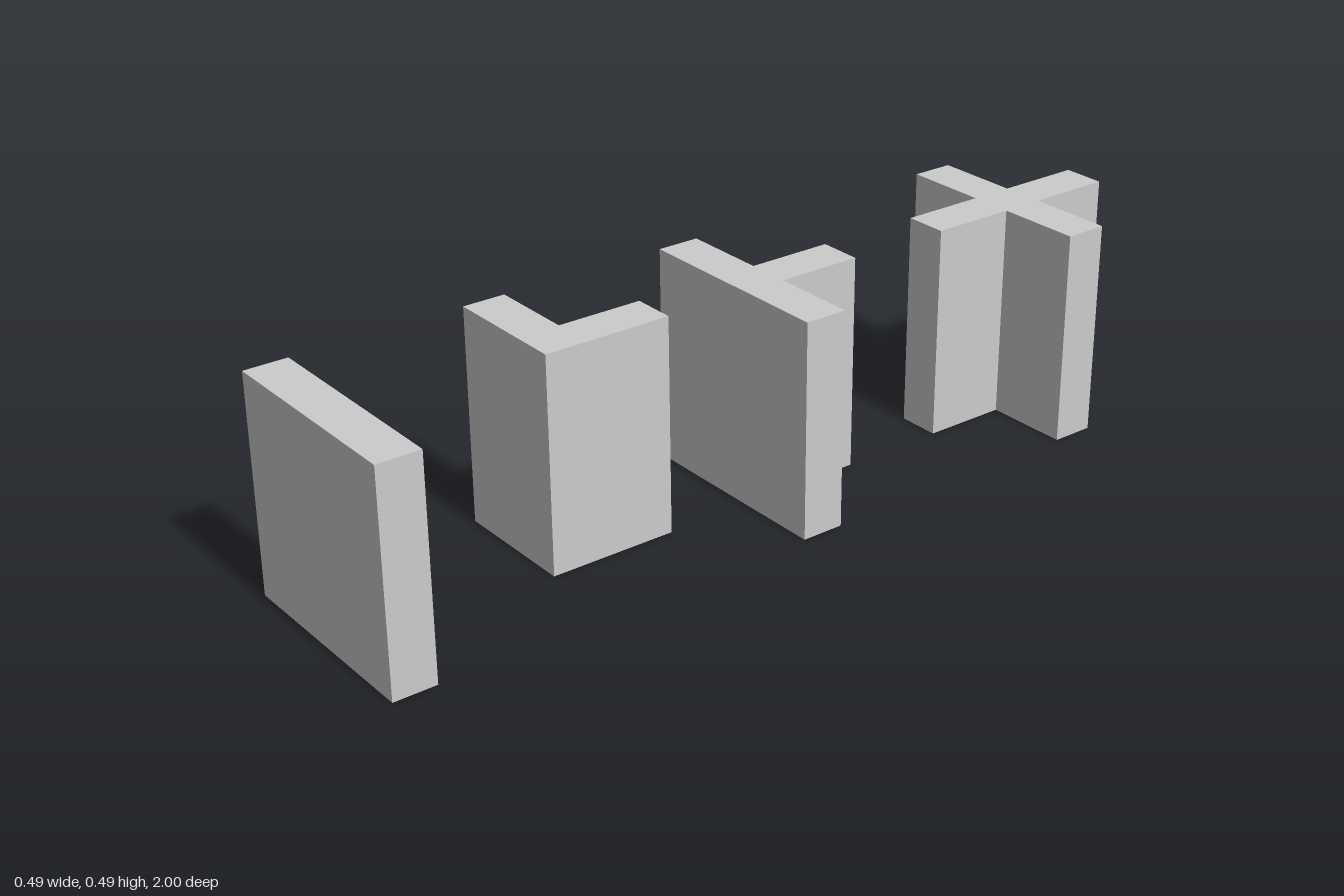
import * as THREE from 'three';

const T = 2 / 20.5;   // wall thickness
const HALF = 2.5 * T; // reach of an arm from the centre
const HEIGHT = 5 * T;

// Plan outline of a wall piece; arms = [left (+x), back, right (-x), front]
function planShape(arms) {
  const points = [];
  const h = T / 2;
  arms.forEach((arm, i) => {
    const turn = i * Math.PI / 2;
    const add = (x, y) => points.push(new THREE.Vector2(x, y).rotateAround(new THREE.Vector2(), turn));
    if (arm) {
      add(HALF, -h);
      add(HALF, h);
    }
    // a core corner exists only where neighbouring sides are alike
    if (arm === arms[(i + 1) % 4]) add(h, h);
  });
  return new THREE.Shape(points);
}

export function createModel() {
  const model = new THREE.Group();
  model.name = 'wallPieces';
  const material = new THREE.MeshStandardMaterial({ color: 0xcccccc, flatShading: true });

  // Wall pieces from front to back
  const pieces = [
    { name: 'straightWall', arms: [1, 0, 1, 0], z: 9.75 },
    { name: 'cornerWall', arms: [0, 1, 1, 0], z: 4.75 },
    { name: 'teeWall', arms: [1, 1, 1, 0], z: -0.25 },
    { name: 'crossWall', arms: [1, 1, 1, 1], z: -7.75 },
  ];
  for (const { name, arms, z } of pieces) {
    const geometry = new THREE.ExtrudeGeometry(planShape(arms), { depth: HEIGHT, bevelEnabled: false });
    geometry.rotateX(-Math.PI / 2);
    const wall = new THREE.Mesh(geometry, material);
    wall.name = name;
    wall.position.z = z * T;
    model.add(wall);
  }
  return model;
}
